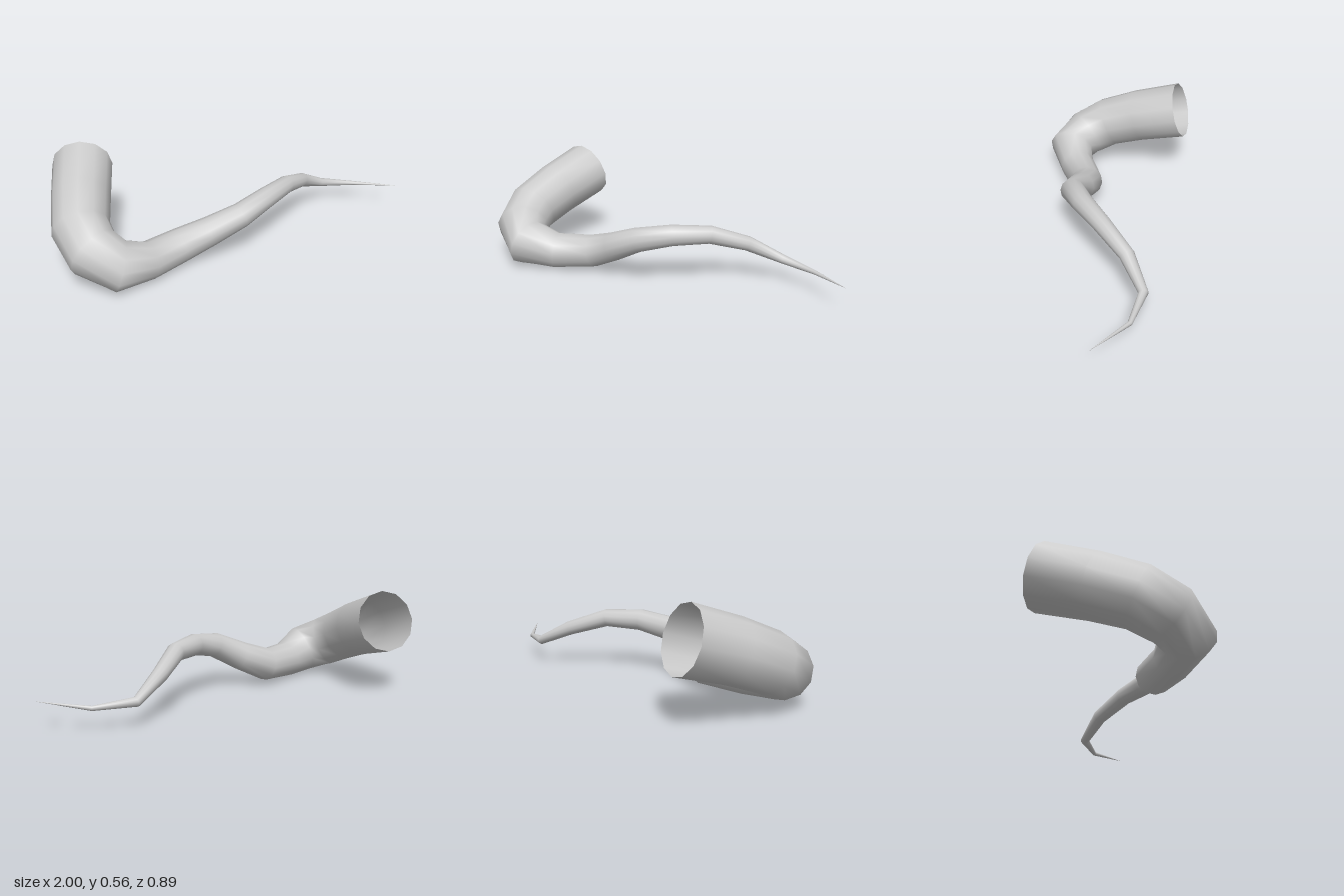
import * as THREE from 'three';

// Spine of the tentacle from open base to tip: [x, y, z, radius]
const RINGS = [
  [-0.835, 0.407, -0.333, 0.163],
  [-0.845, 0.33, -0.075, 0.156],
  [-0.848, 0.255, 0.12, 0.15],
  [-0.79, 0.19, 0.245, 0.146],
  [-0.665, 0.137, 0.313, 0.134],
  [-0.52, 0.102, 0.23, 0.1],
  [-0.34, 0.112, 0.12, 0.092],
  [-0.185, 0.175, 0.112, 0.079],
  [-0.02, 0.252, 0.106, 0.067],
  [0.133, 0.285, 0.0, 0.058],
  [0.28, 0.285, -0.14, 0.049],
  [0.41, 0.22, -0.305, 0.04],
  [0.56, 0.132, -0.425, 0.025],
  [0.765, 0.117, -0.408, 0.012],
  [1.0, 0.14, -0.285, 0.0005],
];
const SIDES = 12;

// Sweeps a round section along the spine, carrying the side vector from ring to ring
function sweep(rings, sides) {
  const centres = rings.map(([x, y, z]) => new THREE.Vector3(x, y, z));
  const positions = [], indices = [];
  const last = rings.length - 1;
  const step = (i) => centres[i + 1].clone().sub(centres[i]).normalize();
  const side = new THREE.Vector3(1, 0, 0);
  centres.forEach((c, i) => {
    const tangent = new THREE.Vector3();
    if (i > 0) tangent.add(step(i - 1));
    if (i < last) tangent.add(step(i));
    tangent.normalize();
    side.addScaledVector(tangent, -side.dot(tangent)).normalize();
    const up = new THREE.Vector3().crossVectors(tangent, side);
    for (let j = 0; j < sides; j++) {
      const a = (j / sides) * Math.PI * 2;
      const p = c.clone()
        .addScaledVector(side, Math.cos(a) * rings[i][3])
        .addScaledVector(up, Math.sin(a) * rings[i][3]);
      positions.push(p.x, p.y, p.z);
      if (i < last) {
        const k = (j + 1) % sides;
        const p0 = i * sides + j, p1 = i * sides + k;
        indices.push(p0, p1, p1 + sides, p0, p1 + sides, p0 + sides);
      }
    }
  });
  const geometry = new THREE.BufferGeometry();
  geometry.setAttribute('position', new THREE.Float32BufferAttribute(positions, 3));
  geometry.setIndex(indices);
  geometry.computeVertexNormals();
  return geometry;
}

export function createModel() {
  const group = new THREE.Group();
  group.name = 'tentacleModel';
  // Hollow at the base, so both faces show
  const material = new THREE.MeshStandardMaterial({ color: 0xcccccc, side: THREE.DoubleSide });
  const tentacle = new THREE.Mesh(sweep(RINGS, SIDES), material);
  tentacle.name = 'tentacle';
  group.add(tentacle);
  return group;
}
